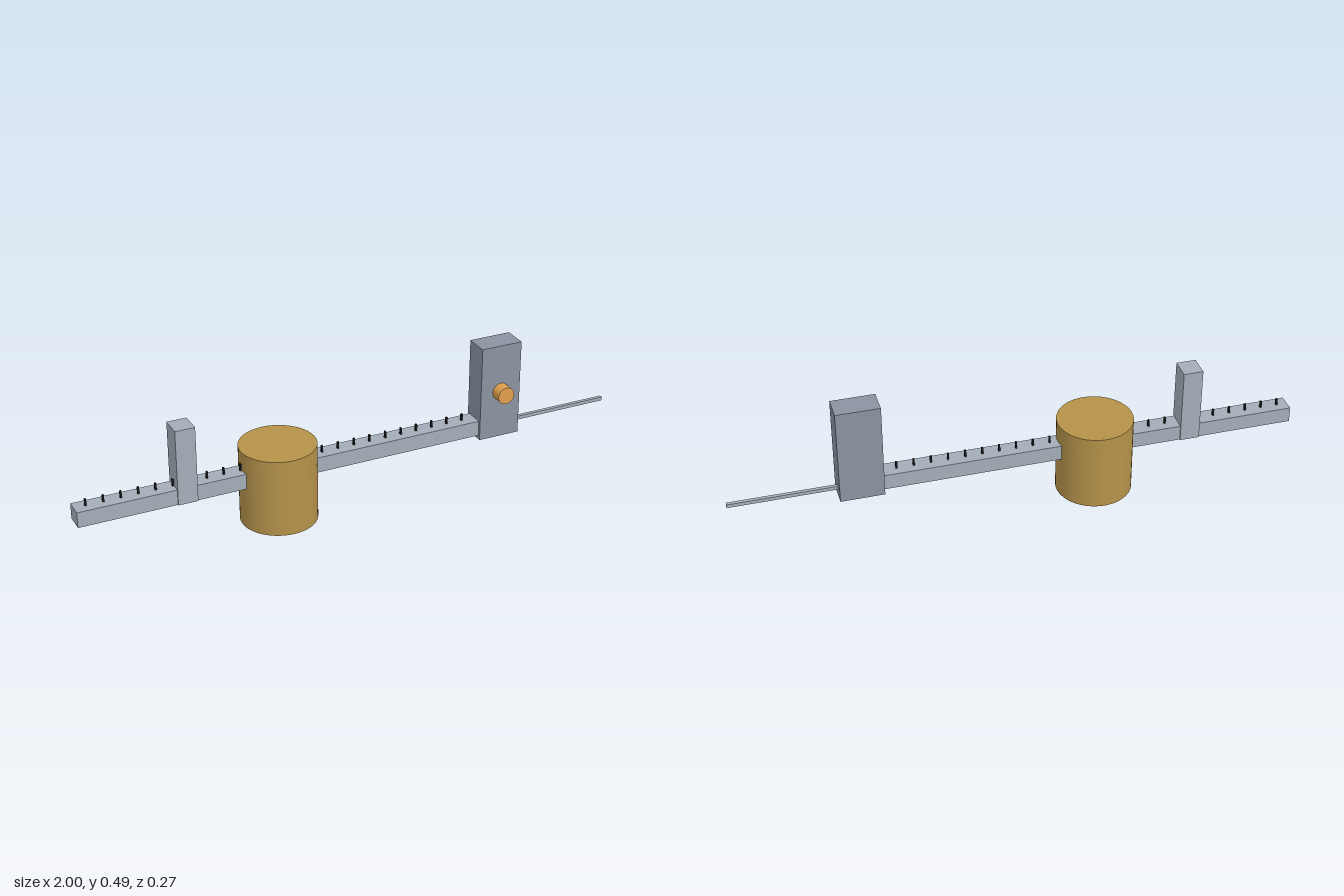
import * as THREE from 'three';

export function createModel() {
  const group = new THREE.Group();
  const mat = (color) => new THREE.MeshStandardMaterial({ color });
  const steel = mat(0xa4adb8), darkSteel = mat(0x8a93a2), brass = mat(0xb5924a);
  const orange = mat(0xe0a04e), black = mat(0x1c1c20);

  const add = (name, geometry, material, x, y, z) => {
    const mesh = new THREE.Mesh(geometry, material);
    mesh.name = name;
    mesh.position.set(x, y, z);
    group.add(mesh);
    return mesh;
  };
  // Box given by its x and y limits and its depth, centred on z = 0
  const box = (name, material, x0, x1, y0, y1, depth) =>
    add(name, new THREE.BoxGeometry(x1 - x0, y1 - y0, depth), material, (x0 + x1) / 2, (y0 + y1) / 2, 0);

  // Beam with the fixed jaw, sliding jaw and depth rod
  box('beam', steel, -1, 0.56, 0.154, 0.21, 0.068);
  box('fixedJaw', steel, -0.657, -0.587, 0.154, 0.428, 0.077);
  box('slidingJaw', darkSteel, 0.471, 0.625, 0.14, 0.491, 0.088);
  box('depthRod', steel, 0.56, 1, 0.165, 0.178, 0.013);

  // Round post carrying the beam
  add('post', new THREE.CylinderGeometry(0.134, 0.134, 0.28, 48), brass, -0.283, 0.14, 0);

  // Thumb screw on the front of the sliding jaw
  const screw = add('thumbScrew', new THREE.CylinderGeometry(0.031, 0.031, 0.056, 32), orange, 0.548, 0.316, 0.058);
  screw.rotation.x = Math.PI / 2;

  // Scale marks along the top of the beam
  for (let i = 0; i < 24; i++) {
    const x = -0.96 + i * 0.06;
    box('scaleMark', black, x - 0.003, x + 0.003, 0.205, 0.235, 0.008);
  }
  return group;
}
